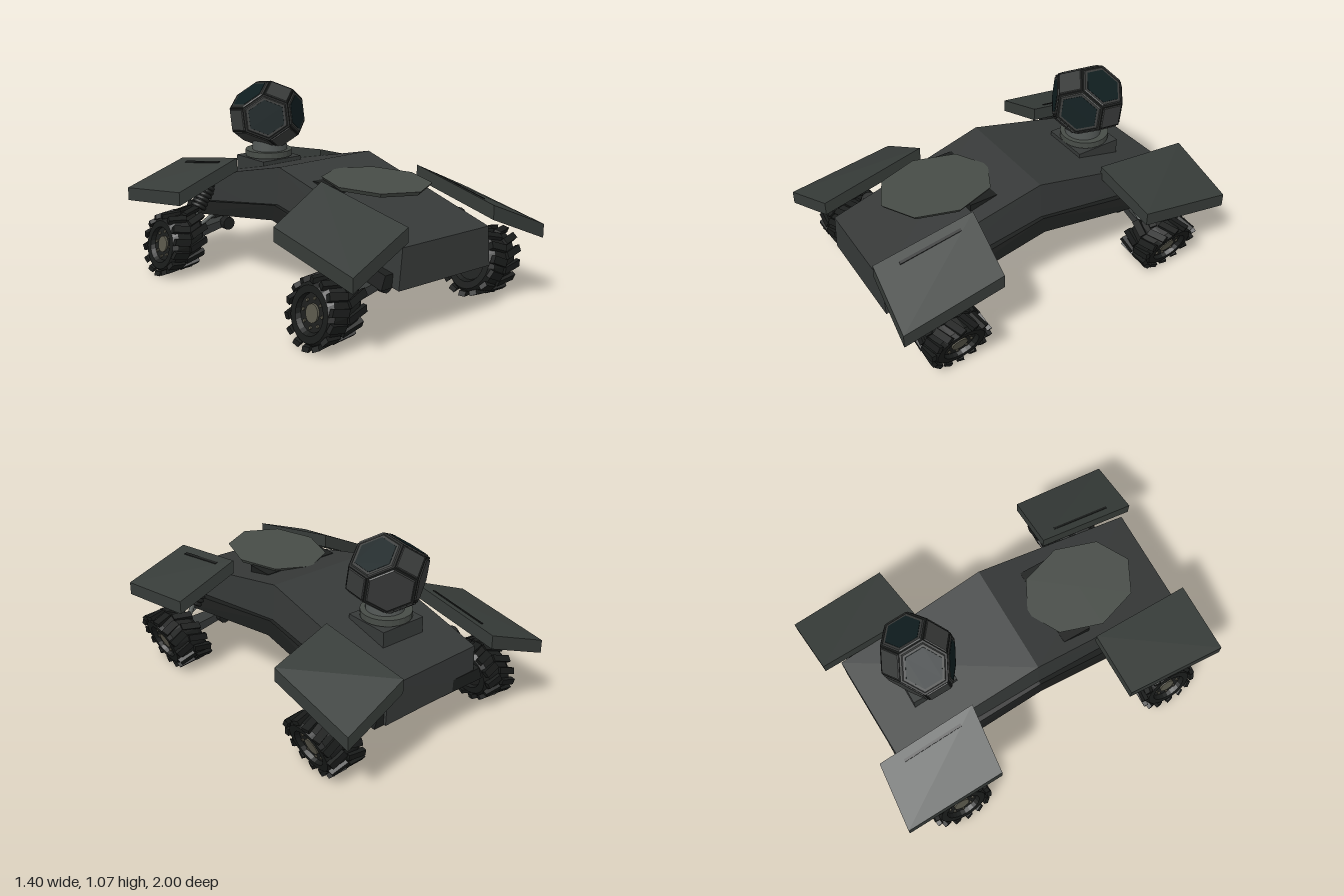
import * as THREE from 'three';
import { ConvexGeometry } from 'three/addons/geometries/ConvexGeometry.js';

const V = (x, y, z) => new THREE.Vector3(x, y, z);
const mat = (color, flatShading = true) => new THREE.MeshStandardMaterial({ color, flatShading });
const M = {
  hull: mat(0x363938), dark: mat(0x1c1e1d), fender: mat(0x373c39), disc: mat(0x474c47),
  tyre: mat(0x191b1a), hub: mat(0x58564a), eye: mat(0x0f1d1f), panel: mat(0x383a39),
  metal: mat(0x555a58, false), rubber: mat(0x1f2120, false),
};

function add(parent, name, geometry, material, x = 0, y = 0, z = 0) {
  const m = new THREE.Mesh(geometry, material);
  m.name = name;
  m.position.set(x, y, z);
  parent.add(m);
  return m;
}

// Cylinder running from a to b
function rod(parent, name, a, b, r, material, sides = 12) {
  const m = add(parent, name, new THREE.CylinderGeometry(r, r, a.distanceTo(b), sides), material);
  m.position.copy(a).lerp(b, 0.5);
  m.quaternion.setFromUnitVectors(V(0, 1, 0), b.clone().sub(a).normalize());
  return m;
}

// Four-cornered section at z: half width and height, at top and bottom
const section = (wt, yt, wb, yb, z, skew = 0) => [
  V(-wt, yt, z - skew), V(wt, yt, z + skew), V(-wb, yb, z - skew), V(wb, yb, z + skew)];

function buildHull(g) {
  const upperMid = section(0.315, 0.69, 0.335, 0.425, 0);
  const lowerMid = section(0.35, 0.49, 0.365, 0.41, 0);
  add(g, 'hullFront', new ConvexGeometry([...upperMid, ...section(0.285, 0.47, 0.305, 0.26, 0.915, 0.01)]), M.hull);
  add(g, 'hullBack', new ConvexGeometry([...upperMid, ...section(0.305, 0.48, 0.315, 0.27, -0.865, -0.01)]), M.hull);
  for (const s of [1, -1])
    add(g, s > 0 ? 'sillFront' : 'sillBack',
      new ConvexGeometry([...lowerMid, ...section(0.35, 0.335, 0.375, 0.265, 0.86 * s)]), M.dark);
  // Octagonal deck plate on a short pedestal
  const disc = add(g, 'deckPlate', new THREE.CylinderGeometry(1, 0.94, 0.022, 8), M.disc, -0.02, 0.65, 0.43);
  disc.scale.set(0.25, 1, 0.32);
  add(g, 'deckPlatePedestal', new THREE.BoxGeometry(0.46, 0.06, 0.16), M.dark, -0.02, 0.615, 0.28);
}

// Top corners: inner near, outer near, outer end, inner end
function buildFender(g, name, corners, slit) {
  const top = corners.map(c => V(...c));
  const at = (u, v, dy) => {
    const p = top[0].clone().lerp(top[1], u);
    return p.lerp(top[3].clone().lerp(top[2], u), v).add(V(0, dy, 0));
  };
  add(g, name, new ConvexGeometry([...top, ...top.map(p => p.clone().add(V(0, -0.075, 0)))]), M.fender);
  if (!slit) return;
  const pts = [];
  for (const u of [0.13, 0.17]) for (const v of [0.17, 0.78]) for (const dy of [-0.01, 0.005]) pts.push(at(u, v, dy));
  add(g, name + 'Slot', new ConvexGeometry(pts), M.dark);
}

// Wheel with axis along x; leaned by a shear so the tread rows step sideways
function buildWheel(g, name, cx, cz, lean, slope) {
  const out = Math.sign(cx);
  const wheel = new THREE.Group();
  wheel.name = name;
  wheel.position.set(cx, 0.176, cz);
  g.add(wheel);
  const shear = new THREE.Matrix4().set(1, lean, 0, 0, slope, 1, 0, 0, 0, 0, 1, 0, 0, 0, 0, 1);
  const put = (part, geo, material) => add(wheel, part, geo.applyMatrix4(shear), material);
  const profile = [[0.09, -0.07], [0.1, -0.1], [0.135, -0.1], [0.155, -0.075], [0.16, 0],
    [0.155, 0.075], [0.135, 0.1], [0.1, 0.1], [0.09, 0.07]].map(p => new THREE.Vector2(...p));
  put('tyre', new THREE.LatheGeometry(profile, 24).rotateZ(-Math.PI / 2), M.tyre);
  put('rim', new THREE.CylinderGeometry(0.095, 0.095, 0.15, 20).rotateZ(Math.PI / 2), M.dark);
  put('hubCap', new THREE.CylinderGeometry(0.045, 0.045, 0.17, 14).rotateZ(Math.PI / 2), M.hub);
  for (let i = 0; i < 8; i++) {
    const a = i * Math.PI / 4;
    put('bolt', new THREE.CylinderGeometry(0.008, 0.008, 0.012, 6).rotateZ(Math.PI / 2)
      .translate(out * 0.078, 0.07 * Math.cos(a), 0.07 * Math.sin(a)), M.hub);
  }
  // Two staggered rows of slanted tread lugs
  const lugs = 14;
  for (const side of [1, -1])
    for (let i = 0; i < lugs; i++)
      put('lug', new THREE.BoxGeometry(0.105, 0.026, 0.038).rotateY(side * 0.3)
        .translate(side * 0.053, 0.16, 0).rotateX((i + (side > 0 ? 0.5 : 0)) * 2 * Math.PI / lugs), M.tyre);
}

function buildSuspension(g, s, z) {
  const arm = [];
  for (const dz of [-1, 1]) {
    arm.push(V(s * 0.22, 0.25, z + dz * 0.035), V(s * 0.22, 0.21, z + dz * 0.035),
      V(s * 0.5, 0.225, z + dz * 0.06), V(s * 0.5, 0.165, z + dz * 0.06));
    // Pivot knuckles under the hull
    rod(g, 'armPivot', V(s * 0.24, 0.23, z + dz * 0.03), V(s * 0.24, 0.23, z + dz * 0.075), 0.038, M.dark);
  }
  add(g, 'lowerArm', new ConvexGeometry(arm), M.hull);
  const top = V(s * 0.31, 0.48, z), mid = V(s * 0.405, 0.34, z), end = V(s * 0.47, 0.21, z);
  rod(g, 'shockBody', top, mid, 0.036, M.rubber);
  rod(g, 'shockRod', mid, end, 0.014, M.metal);
  rod(g, 'steeringLink', V(s * 0.33, 0.3, z + 0.05), V(s * 0.5, 0.21, z + 0.05), 0.011, M.metal);
  // Bellows rings
  for (let i = 0; i < 7; i++) {
    const ring = add(g, 'shockRing', new THREE.TorusGeometry(0.036, 0.011, 8, 18), M.rubber);
    ring.position.copy(top).lerp(mid, (i + 0.5) / 7);
    ring.quaternion.setFromUnitVectors(V(0, 0, 1), mid.clone().sub(top).normalize());
  }
}

// Faceted head: truncated octahedron turned an eighth, with four eye panels
function buildHead(g) {
  add(g, 'neckBase', new THREE.BoxGeometry(0.27, 0.1, 0.26), M.hull, 0, 0.57, -0.52);
  add(g, 'neckCollar', new THREE.CylinderGeometry(0.135, 0.135, 0.035, 24), M.disc, 0, 0.643, -0.52);
  add(g, 'neck', new THREE.CylinderGeometry(0.1, 0.1, 0.1, 24), M.metal, 0, 0.69, -0.51);
  const head = new THREE.Group();
  head.name = 'head';
  head.position.set(0, 0.858, -0.525);
  head.rotation.set(-0.14, 0, 0.03);
  g.add(head);
  const verts = [];
  for (const a of [1, -1]) for (const b of [2, -2])
    verts.push(V(0, a, b), V(0, b, a), V(a, 0, b), V(b, 0, a), V(a, b, 0), V(b, a, 0));
  const place = p => p.clone().applyAxisAngle(V(1, 0, 0), -Math.PI / 4).multiply(V(0.106, 0.092, 0.094));
  add(head, 'headShell', new ConvexGeometry(verts.map(place)), M.dark);
  const faces = [];
  for (const s of [1, -1]) {
    faces.push([V(s, 0, 0), 2], [V(0, s, 0), 2], [V(0, 0, s), 2]);
    for (const t of [1, -1]) for (const u of [1, -1]) faces.push([V(s, t, u), 3]);
  }
  for (const [n, d] of faces) {
    const ring = verts.filter(p => Math.abs(p.dot(n) - d) < 0.01);
    const centre = ring.reduce((c, p) => c.add(p), V(0, 0, 0)).divideScalar(ring.length);
    const isEye = d === 3 && n.z > 0;
    const slab = (k, h0, k1, h1) => new ConvexGeometry([[k, h0], [k1, h1]].flatMap(([scale, h]) =>
      ring.map(p => place(centre.clone().lerp(p, scale).addScaledVector(n.clone().normalize(), h)))));
    add(head, isEye ? 'eyeFrame' : 'headPanel', slab(0.93, -0.02, 0.87, 0.06), M.panel);
    if (isEye) add(head, 'eye', slab(0.78, 0, 0.76, 0.075), M.eye);
  }
}

export function createModel() {
  const g = new THREE.Group();
  g.name = 'rover';
  buildHull(g);
  buildFender(g, 'fenderFrontRight', [[-0.32, 0.685, 0.355], [-0.645, 0.52, 0.39], [-0.66, 0.43, 0.985], [-0.29, 0.58, 0.945]], false);
  buildFender(g, 'fenderFrontLeft', [[0.3, 0.685, 0.4], [0.635, 0.525, 0.43], [0.635, 0.43, 0.995], [0.28, 0.585, 0.96]], true);
  buildFender(g, 'fenderBackRight', [[-0.31, 0.67, -0.395], [-0.67, 0.525, -0.425], [-0.675, 0.44, -0.99], [-0.32, 0.575, -0.955]], true);
  buildFender(g, 'fenderBackLeft', [[0.3, 0.63, -0.41], [0.655, 0.525, -0.45], [0.66, 0.42, -1.0], [0.3, 0.57, -0.97]], false);
  for (const z of [0.68, -0.67]) {
    const end = z > 0 ? 'Front' : 'Back';
    buildWheel(g, 'wheel' + end + 'Right', -0.562, z, 0.2, 0.08);
    buildWheel(g, 'wheel' + end + 'Left', 0.525, z, 0.36, -0.1);
    for (const s of [1, -1]) buildSuspension(g, s, z);
  }
  buildHead(g);
  return g;
}
